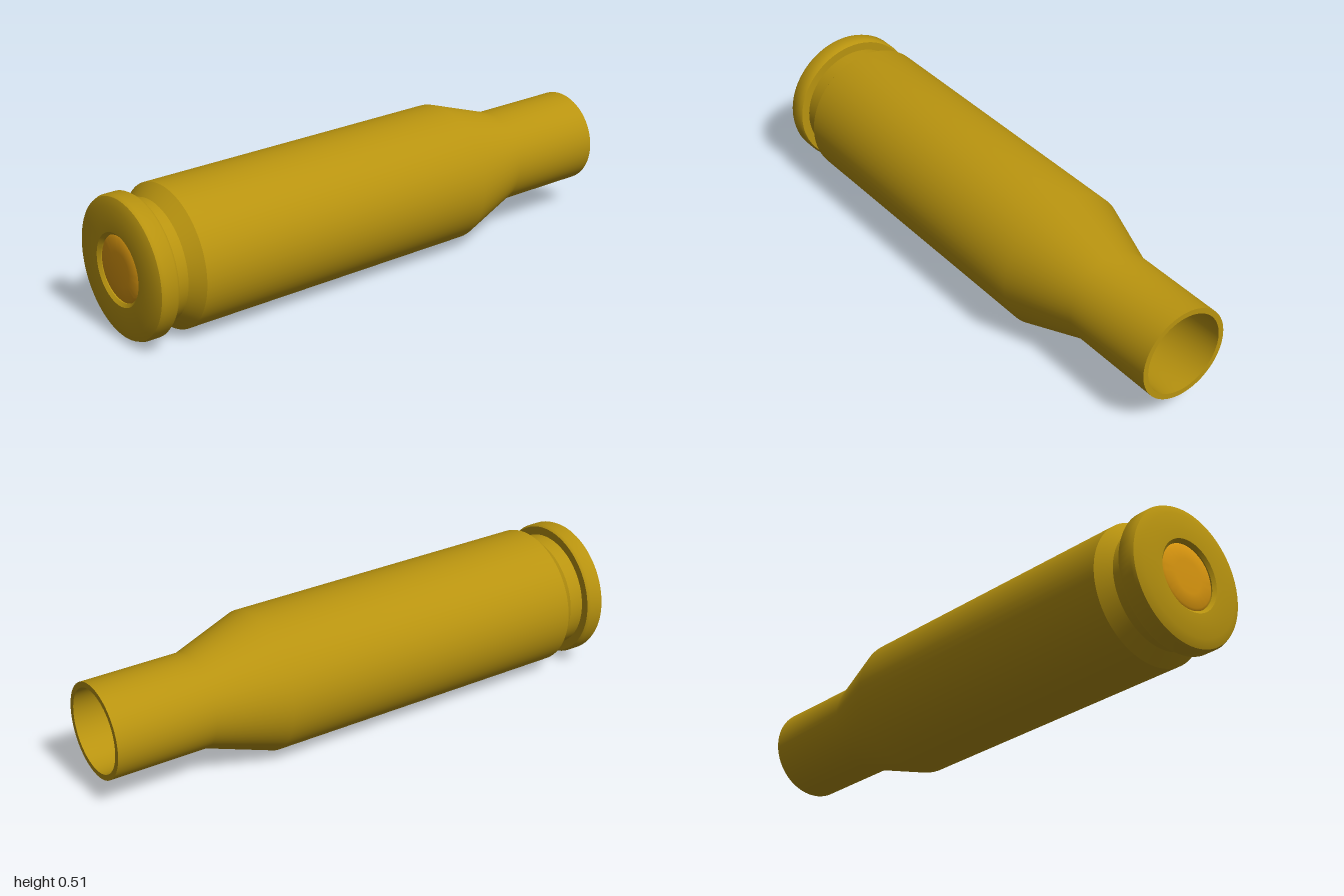
import * as THREE from 'three';
import { toCreasedNormals } from 'three/addons/utils/BufferGeometryUtils.js';

const RADIUS = 0.253;

// Turn a [radius, z] profile around the z axis
function turned(name, profile, color) {
  const points = profile.map(([r, z]) => new THREE.Vector2(r, z));
  const geometry = new THREE.LatheGeometry(points, 72);
  geometry.rotateX(Math.PI / 2);
  const material = new THREE.MeshStandardMaterial({ color });
  const mesh = new THREE.Mesh(toCreasedNormals(geometry, Math.PI / 5), material);
  mesh.name = name;
  mesh.position.y = RADIUS;
  return mesh;
}

export function createModel() {
  const group = new THREE.Group();
  group.name = 'emptyCase';

  group.add(turned('caseBody', [
    // hollow inside, from the floor out to the mouth
    [0, 0.8], [0.2, 0.8], [0.23, 0.74], [0.23, -0.37], [0.15, -0.62], [0.15, -1],
    // neck, shoulder and straight wall
    [0.17, -1], [0.17, -0.63], [RADIUS, -0.38], [RADIUS, 0.82],
    // extractor groove
    [0.212, 0.865], [0.212, 0.92],
    // rim and base face
    [0.243, 0.92], [0.25, 0.93], [0.25, 0.975], [0.245, 0.987], [0.215, 1], [0.128, 1],
    // pocket for the primer
    [0.117, 0.99], [0.117, 0.93], [0, 0.93],
  ], 0xb8930f));

  group.add(turned('primer', [
    [0.117, 0.94], [0.117, 0.985], [0.108, 0.992], [0.06, 0.994], [0, 0.994],
  ], 0xd9960f));

  return group;
}
